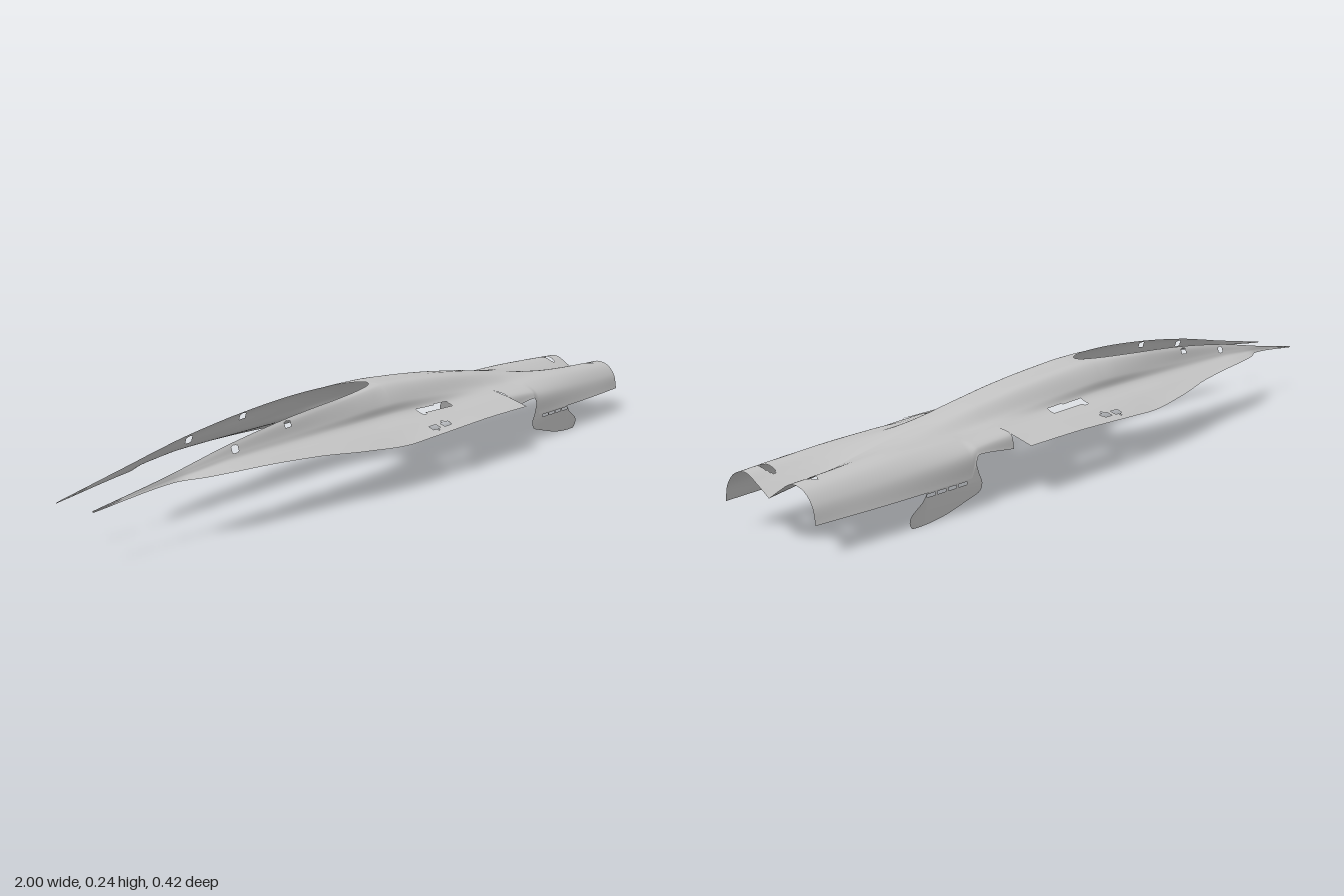
import * as THREE from 'three';
import { mergeVertices } from 'three/addons/utils/BufferGeometryUtils.js';

// Cross-sections: x, then six (z, y) points from the centre line out to the lower edge
const FORE = [
  [-1.0, .055, .128, .055, .127, .056, .127, .056, .126, .057, .126, .057, .125],
  [-.78, .065, .164, .066, .16, .067, .156, .068, .152, .070, .148, .072, .145],
  [-.71, .066, .177, .069, .171, .072, .164, .076, .157, .087, .152, .101, .147],
  [-.6, .066, .196, .070, .188, .075, .174, .081, .164, .102, .156, .126, .148],
  [-.4, .064, .220, .070, .211, .078, .182, .086, .166, .120, .152, .152, .140],
  [-.25, .061, .231, .068, .221, .080, .187, .087, .167, .130, .149, .180, .128],
  [-.1, .044, .237, .058, .233, .081, .193, .086, .167, .138, .146, .196, .118],
  [-.03, 0, .238, .050, .235, .081, .194, .087, .167, .140, .146, .200, .121],
  [.1, 0, .231, .048, .228, .079, .188, .090, .163, .145, .146, .208, .128],
  [.25, 0, .219, .045, .215, .077, .178, .095, .160, .148, .147, .208, .131],
  [.4, 0, .202, .040, .197, .075, .168, .100, .160, .150, .148, .208, .130],
];
const REAR = [
  [.4, 0, .202, .040, .197, .075, .168, .100, .160, .148, .148, .157, .115],
  [.52, 0, .184, .038, .180, .076, .162, .108, .158, .149, .142, .157, .126],
  [.545, 0, .180, .038, .177, .076, .162, .110, .158, .150, .132, .157, .075],
  [.7, 0, .155, .036, .161, .075, .163, .113, .155, .145, .125, .155, .075],
  [.85, 0, .128, .036, .145, .073, .157, .110, .150, .138, .120, .150, .075],
  [1.0, 0, .107, .035, .131, .070, .150, .106, .143, .131, .115, .140, .075],
];

// Openings: centre x, half length, centre z or y, half width
const OPENINGS = [
  { x: .13, rx: .066, z: .100, r: .010, square: true },
  { x: .03, rx: .016, z: .174, r: .011 },
  { x: .075, rx: .016, z: .174, r: .011 },
  { x: .945, rx: .010, z: .066, r: .022 },
  { x: -.59, rx: .012, y: .183, r: .009 },
  { x: -.41, rx: .012, y: .207, r: .008 },
];

function inOpening(x, y, z) {
  return OPENINGS.some((o) => {
    const a = Math.abs(x - o.x) / o.rx;
    const b = Math.abs(o.z === undefined ? y - o.y : z - o.z) / o.r;
    return o.square ? a < 1 && b < 1 : a * a + b * b < 1;
  });
}

// Smooth interpolation between sections without overshoot
function sectionAt(rows, x) {
  let k = 0;
  while (k < rows.length - 2 && x > rows[k + 1][0]) k++;
  const h = rows[k + 1][0] - rows[k][0];
  const t = THREE.MathUtils.clamp((x - rows[k][0]) / h, 0, 1);
  const slope = (i, c) => (rows[i + 1][c] - rows[i][c]) / (rows[i + 1][0] - rows[i][0]);
  const tangent = (i, c) => {
    if (i === 0) return slope(0, c);
    if (i === rows.length - 1) return slope(i - 1, c);
    const a = slope(i - 1, c), b = slope(i, c);
    return a * b <= 0 ? 0 : 2 * a * b / (a + b);
  };
  const value = (c) => {
    const p = rows[k][c], q = rows[k + 1][c], t2 = t * t, t3 = t2 * t;
    return p * (2 * t3 - 3 * t2 + 1) + q * (3 * t2 - 2 * t3)
      + h * (tangent(k, c) * (t3 - 2 * t2 + t) + tangent(k + 1, c) * (t3 - t2));
  };
  const pts = [];
  for (let c = 1; c < 13; c += 2) pts.push(new THREE.Vector3(x, value(c + 1), value(c)));
  // Rounded rear end of the cockpit opening
  if (x > -.25 && x < -.03) {
    pts[0].z = .062 * Math.sqrt(Math.max(0, 1 - ((x + .3) / .27) ** 2));
  }
  return new THREE.CatmullRomCurve3(pts);
}

// Skin both halves of the shell, leaving the openings out
function shell(rows, name, material) {
  const N = 40, x0 = rows[0][0], x1 = rows[rows.length - 1][0];
  const steps = Math.round((x1 - x0) / .004);
  const pos = [], index = [];
  for (const s of [1, -1]) {
    const base = pos.length / 3;
    for (let i = 0; i <= steps; i++) {
      const curve = sectionAt(rows, x0 + (x1 - x0) * i / steps);
      for (let j = 0; j <= N; j++) {
        const p = curve.getPoint(j / N);
        pos.push(p.x, p.y, s * p.z);
      }
    }
    for (let i = 0; i < steps; i++) {
      for (let j = 0; j < N; j++) {
        const a = base + i * (N + 1) + j, b = a + 1, c = a + N + 1, d = c + 1;
        const mid = (k) => (pos[a * 3 + k] + pos[d * 3 + k]) / 2;
        if (inOpening(mid(0), mid(1), Math.abs(mid(2)))) continue;
        if (s > 0) index.push(a, b, c, b, d, c);
        else index.push(a, c, b, b, c, d);
      }
    }
  }
  let geo = new THREE.BufferGeometry();
  geo.setAttribute('position', new THREE.Float32BufferAttribute(pos, 3));
  geo.setIndex(index);
  geo = mergeVertices(geo, 1e-6);
  geo.computeVertexNormals();
  const mesh = new THREE.Mesh(geo, material);
  mesh.name = name;
  return mesh;
}

// Thin ventral fin with a row of slots along its root, bowed slightly inward
function ventralFin(side, material) {
  const shape = new THREE.Shape();
  shape.moveTo(.53, .108);
  shape.quadraticCurveTo(.522, .08, .512, .065);
  shape.quadraticCurveTo(.508, .042, .53, .036);
  shape.lineTo(.62, .013);
  shape.quadraticCurveTo(.68, .001, .735, .004);
  shape.quadraticCurveTo(.752, .02, .738, .036);
  shape.lineTo(.705, .058);
  shape.lineTo(.69, .077);
  shape.lineTo(.545, .077);
  for (let i = 0; i < 4; i++) {
    const x = .563 + i * .034;
    const slot = new THREE.Path();
    slot.moveTo(x, .066);
    slot.lineTo(x, .073);
    slot.lineTo(x + .027, .073);
    slot.lineTo(x + .027, .066);
    slot.closePath();
    shape.holes.push(slot);
  }
  const geo = new THREE.ShapeGeometry(shape, 8);
  const p = geo.attributes.position;
  for (let i = 0; i < p.count; i++) {
    const drop = Math.max(0, .075 - p.getY(i)) / .075;
    p.setZ(i, side * (.157 - .005 * drop * drop));
  }
  geo.computeVertexNormals();
  const mesh = new THREE.Mesh(geo, material);
  mesh.name = side > 0 ? 'leftVentralFin' : 'rightVentralFin';
  return mesh;
}

export function createModel() {
  const grey = new THREE.MeshStandardMaterial({ color: 0xc4c4c4, side: THREE.DoubleSide });
  grey.name = 'light grey';
  const group = new THREE.Group();
  group.name = 'upperFuselageShell';
  group.add(shell(FORE, 'forwardFuselage', grey));
  group.add(shell(REAR, 'rearFuselage', grey));
  for (const side of [1, -1]) group.add(ventralFin(side, grey));
  return group;
}
